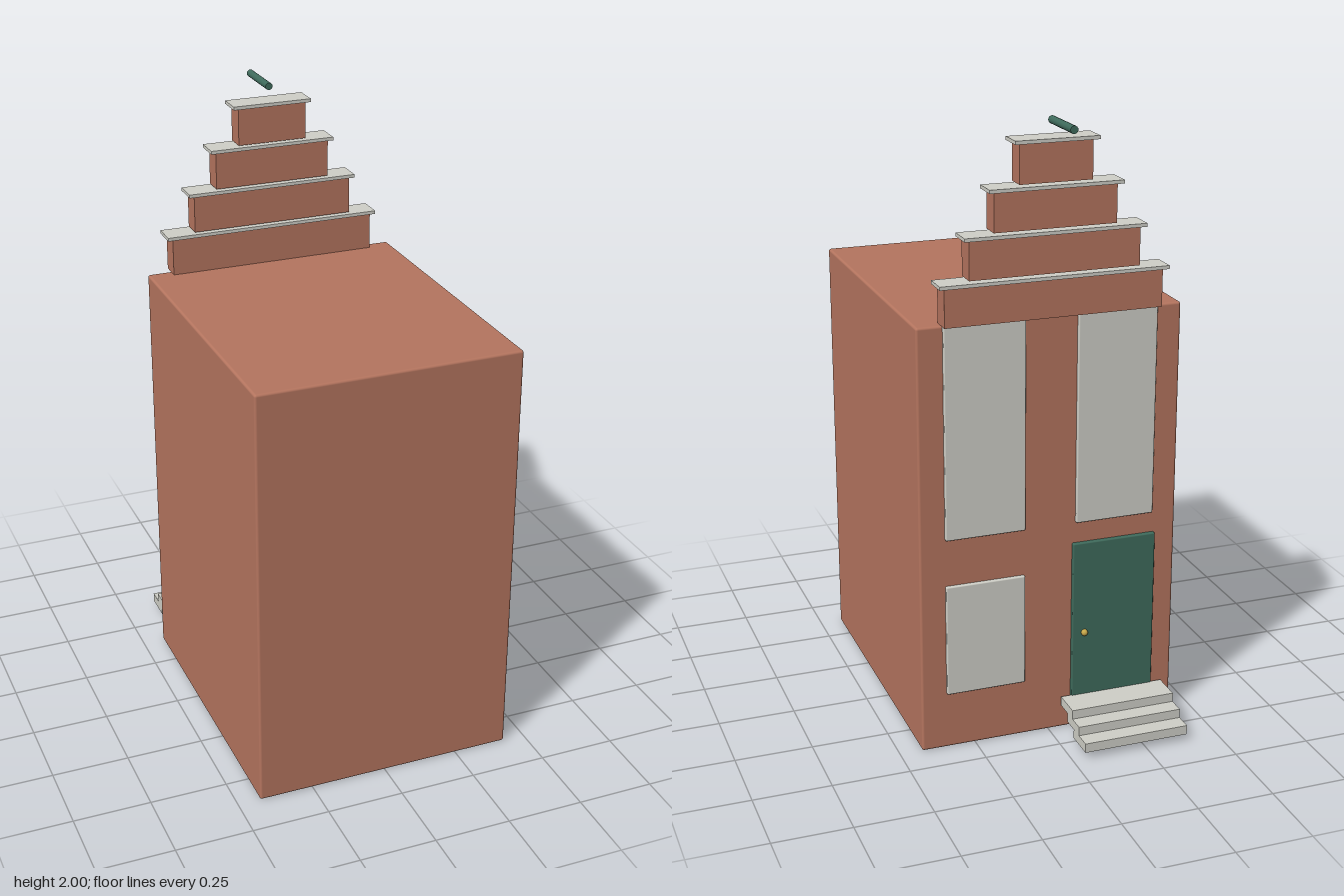
import * as THREE from 'three';
import { RoundedBoxGeometry } from 'three/addons/geometries/RoundedBoxGeometry.js';

const material = (color) => new THREE.MeshStandardMaterial({ color });

export function createModel() {
  const house = new THREE.Group();
  house.name = 'house';
  const brick = material(0xb5755f);
  const stone = material(0xd0d0c8);
  const green = material(0x3f6b5c);
  const brass = material(0xc9a84a);

  // Box given by its limits along each axis, optionally with rounded edges
  function block(name, mat, [x0, x1], [y0, y1], [z0, z1], radius = 0) {
    const size = [x1 - x0, y1 - y0, z1 - z0];
    const geometry = radius
      ? new RoundedBoxGeometry(...size, 2, radius)
      : new THREE.BoxGeometry(...size);
    const mesh = new THREE.Mesh(geometry, mat);
    mesh.name = name;
    mesh.position.set((x0 + x1) / 2, (y0 + y1) / 2, (z0 + z1) / 2);
    house.add(mesh);
    return mesh;
  }

  // Main body; the facade is on the -z side
  block('body', brick, [-0.427, 0.427], [0, 1.4], [-0.395, 0.617], 0.008);

  // Stepped gable: four brick tiers, each with a stone coping
  [0.348, 0.271, 0.194, 0.115].forEach((half, i) => {
    const y = 1.4 + i * 0.137;
    block(`gableTier${i + 1}`, brick, [-half, half], [y, y + 0.124], [-0.426, -0.36]);
    const cap = half + 0.017;
    block(`gableCap${i + 1}`, stone, [-cap, cap], [y + 0.12, y + 0.131], [-0.438, -0.354]);
  });

  // Hoisting beam over the gable
  const beam = new THREE.Mesh(new THREE.CylinderGeometry(0.012, 0.012, 0.176, 16), green);
  beam.name = 'hoistBeam';
  beam.rotation.x = Math.PI / 2;
  beam.position.set(0, 1.988, -0.473);
  house.add(beam);

  // Windows: one beside the door, two stacked on each side above
  const paneZ = [-0.407, -0.385];
  const pane = (name, x, y) =>
    block(name, stone, [x - 0.13, x + 0.13], [y, y + 0.37], paneZ, 0.004);
  pane('groundWindow', 0.215, 0.19);
  for (const x of [-0.215, 0.215]) {
    pane('middleWindow', x, 0.715);
    pane('upperWindow', x, 1.03);
  }

  // Door with its knob
  block('door', green, [-0.355, -0.075], [0.022, 0.645], [-0.409, -0.385], 0.004);
  const knob = new THREE.Mesh(new THREE.SphereGeometry(0.011, 16, 12), brass);
  knob.name = 'doorKnob';
  knob.position.set(-0.115, 0.335, -0.413);
  house.add(knob);

  // Three overlapping stoop slabs
  for (let i = 0; i < 3; i++) {
    const y = 0.083 - i * 0.03;
    const z = -0.405 - i * 0.056;
    block(`stoopStep${i + 1}`, stone, [-0.39, -0.04], [y, y + 0.031], [z - 0.1, z]);
  }

  return house;
}
